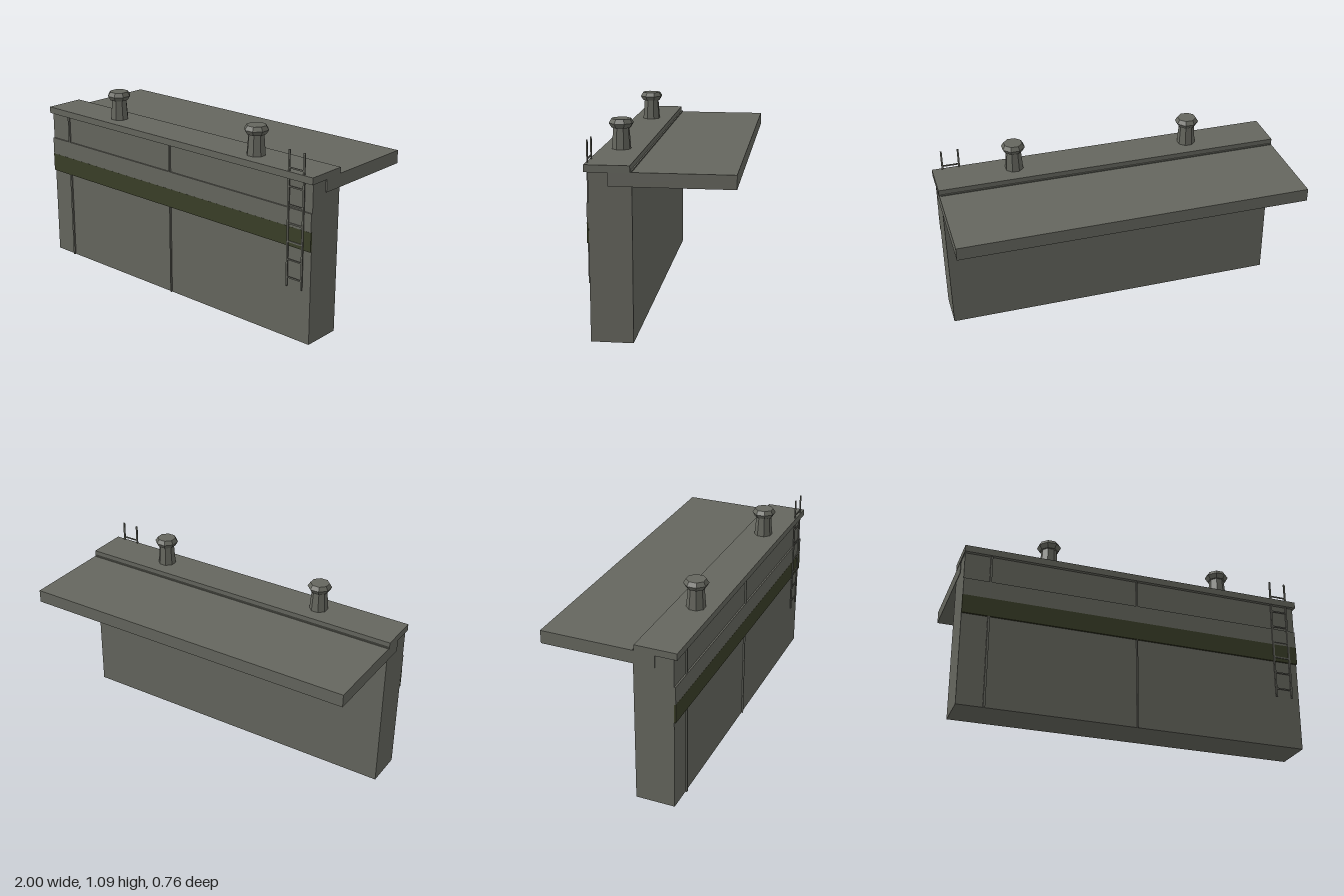
import * as THREE from 'three';

export function createModel() {
  const model = new THREE.Group();
  model.name = 'rooftopWall';
  const concrete = new THREE.MeshStandardMaterial({ color: 0x65665e });
  concrete.name = 'concrete grey';
  const olive = new THREE.MeshStandardMaterial({ color: 0x3a3e28 });
  olive.name = 'dark olive';

  // Box given by its lower and upper limits on each axis
  function box(name, [x0, x1], [y0, y1], [z0, z1], material = concrete, parent = model) {
    const mesh = new THREE.Mesh(new THREE.BoxGeometry(x1 - x0, y1 - y0, z1 - z0), material);
    mesh.position.set((x0 + x1) / 2, (y0 + y1) / 2, (z0 + z1) / 2);
    mesh.name = name;
    parent.add(mesh);
    return mesh;
  }

  // Main masses
  box('wall', [-0.995, 0.99], [0, 0.9], [0.14, 0.362]);
  box('roofSlab', [-0.998, 0.998], [0.82, 0.894], [-0.382, 0.26]);
  box('parapetCap', [-1, 1], [0.89, 0.928], [0.148, 0.382]);

  // Raised bands across the front
  box('upperBand', [-0.995, 0.99], [0.631, 0.732], [0.36, 0.371]);
  box('paintedStripe', [-0.996, 0.991], [0.524, 0.631], [0.362, 0.3715], olive);

  // Thin vertical conduits
  for (const [x, w] of [[-0.847, 0.012], [-0.003, 0.008]]) {
    box('conduit', [x - w / 2, x + w / 2], [0, 0.89], [0.36, 0.371]);
  }

  // Ladder passing through the cap
  const ladder = new THREE.Group();
  ladder.name = 'ladder';
  model.add(ladder);
  for (const x of [0.844, 0.94]) {
    box('ladderRail', [x - 0.005, x + 0.005], [0.3, 1.042], [0.37, 0.377], concrete, ladder);
  }
  for (let i = 0; i < 7; i++) {
    const y = 0.35 + i * 0.0995;
    box('ladderRung', [0.844, 0.94], [y - 0.004, y + 0.004], [0.371, 0.376], concrete, ladder);
  }

  // Octagonal chimneys with a flared crown
  const profile = [[0.053, 0.925], [0.044, 1.042], [0.053, 1.042], [0.0685, 1.067], [0.054, 1.09], [0, 1.09]]
    .map(([r, y]) => new THREE.Vector2(r, y));
  const chimneyGeometry = new THREE.LatheGeometry(profile, 8, Math.PI / 8).toNonIndexed();
  chimneyGeometry.computeVertexNormals();
  for (const x of [-0.5, 0.543]) {
    const chimney = new THREE.Mesh(chimneyGeometry, concrete);
    chimney.position.set(x, 0, 0.272);
    chimney.name = 'chimney';
    model.add(chimney);
  }
  return model;
}
